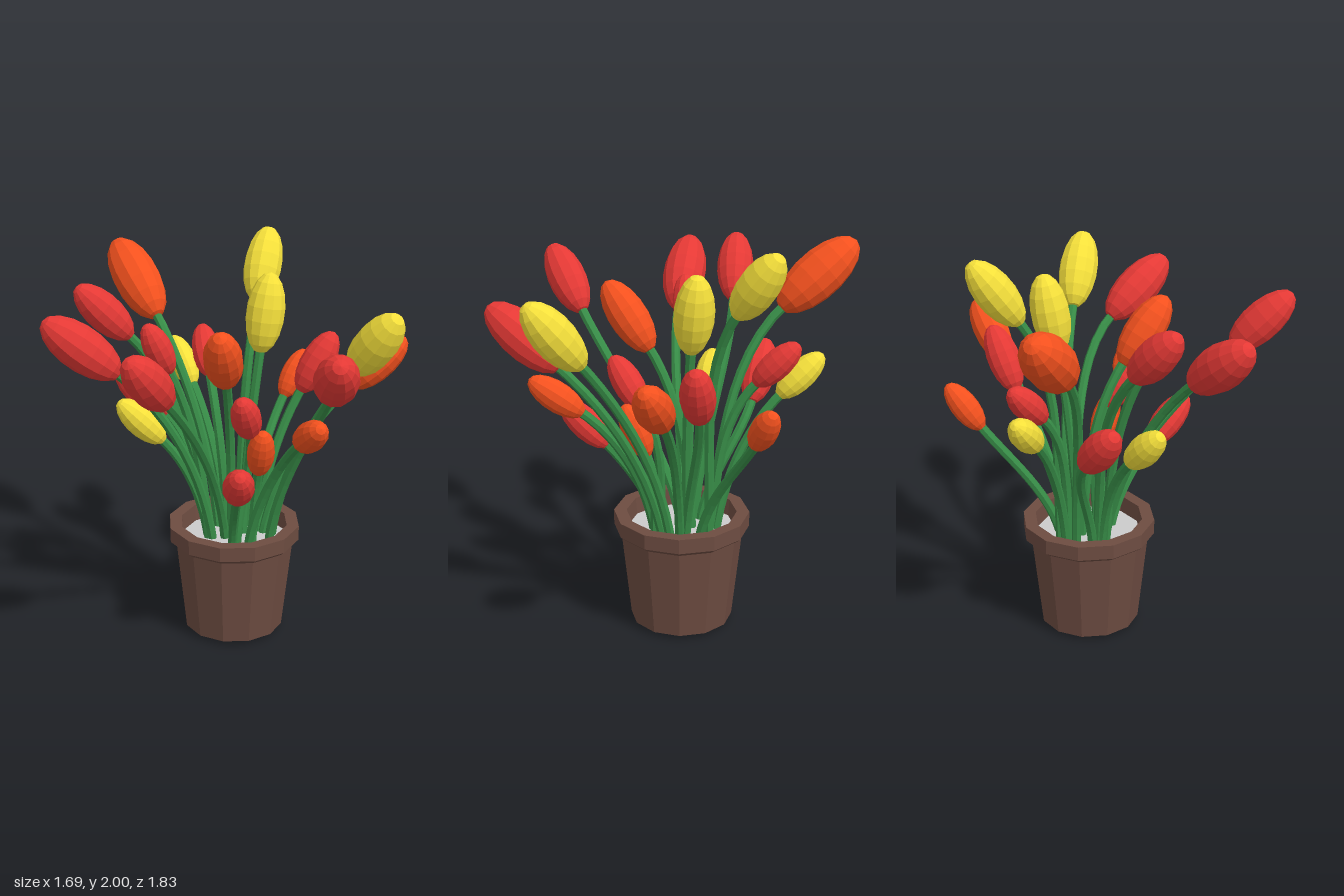
import * as THREE from 'three';

const V = (x, y, z) => new THREE.Vector3(x, y, z);
const mat = (color, side = THREE.FrontSide) =>
  new THREE.MeshStandardMaterial({ color, flatShading: true, side });

// Each row: stem root x, z | bud base x, y, z | bud tip x, y, z
const RED = [
  [0.10, 0.00, -0.55, 1.47, 0.23, -0.83, 1.75, 0.27],
  [0.05, -0.04, -0.40, 1.46, -0.24, -0.67, 1.74, -0.46],
  [0.08, -0.08, -0.14, 1.55, -0.42, -0.36, 1.82, -0.56],
  [0.10, -0.10, 0.09, 1.08, -0.40, -0.08, 1.33, -0.58],
  [0.04, -0.06, -0.13, 1.42, -0.16, -0.25, 1.68, -0.20],
  [0.22, -0.10, 0.30, 1.26, -0.29, 0.42, 1.47, -0.46],
  [0.27, 0.07, 0.52, 1.22, 0.13, 0.66, 1.52, 0.23],
  [0.04, 0.10, -0.14, 0.89, 0.29, -0.31, 1.10, 0.46],
  [0.24, 0.17, 0.12, 1.44, 0.65, -0.14, 1.70, 0.89],
  [0.07, 0.10, 0.07, 1.13, 0.19, -0.10, 1.37, 0.28],
];
const ORANGE = [
  [0.18, -0.12, 0.15, 1.57, -0.52, 0.23, 1.88, -0.89],
  [0.28, 0.00, 0.65, 1.10, -0.09, 0.82, 1.32, -0.08],
  [0.27, 0.10, 0.62, 1.28, 0.37, 0.81, 1.53, 0.56],
  [0.17, -0.02, -0.02, 1.40, 0.11, -0.22, 1.71, 0.25],
  [0.12, 0.16, 0.12, 0.91, 0.20, 0.05, 1.17, 0.29],
  [0.10, 0.15, 0.06, 1.17, 0.51, -0.06, 1.34, 0.73],
];
const YELLOW = [
  [0.23, -0.12, 0.31, 1.18, -0.42, 0.37, 1.38, -0.63],
  [0.06, -0.08, -0.10, 1.03, -0.24, -0.27, 1.25, -0.38],
  [0.27, -0.06, 0.44, 1.67, -0.10, 0.65, 1.99, -0.20],
  [0.20, 0.03, 0.29, 1.47, 0.055, 0.36, 1.86, 0.06],
  [0.28, 0.15, 0.31, 1.50, 0.62, 0.29, 1.82, 0.88],
];

const stemMaterial = mat(0x388e48);

function createFlower([rx, rz, bx, by, bz, tx, ty, tz], budMaterial) {
  const flower = new THREE.Group();
  flower.name = 'tulip';
  const root = V(rx, 0.47, rz), base = V(bx, by, bz), tip = V(tx, ty, tz);
  const axis = tip.clone().sub(base);
  const length = axis.length();
  axis.normalize();

  // Stem rises from the soil, then bends into the line of the bud
  const rise = by - root.y;
  const lower = root.clone().lerp(base, 0.12).add(V(0, rise * 0.3, 0));
  const upper = base.clone().addScaledVector(axis, -0.3 * rise);
  const end = base.clone().addScaledVector(axis, 0.04);
  const curve = new THREE.CubicBezierCurve3(root, lower, upper, end);
  const stem = new THREE.Mesh(new THREE.TubeGeometry(curve, 12, 0.024, 7), stemMaterial);
  stem.name = 'stem';

  // Bud: faceted ellipsoid along the axis
  const bud = new THREE.Mesh(new THREE.SphereGeometry(0.5, 12, 9), budMaterial);
  bud.name = 'bud';
  bud.scale.set(length * 0.49, length * 1.03, length * 0.49);
  bud.quaternion.setFromUnitVectors(V(0, 1, 0), axis);
  bud.position.copy(base).lerp(tip, 0.5);

  flower.add(stem, bud);
  return flower;
}

function createPot() {
  const pot = new THREE.Group();
  pot.name = 'pot';
  pot.position.set(0.14, 0, 0.022);

  // Tapered body, overhanging rim and inner wall in one profile
  const profile = [
    [0, 0], [0.255, 0.02], [0.305, 0.49], [0.32, 0.50], [0.338, 0.515],
    [0.338, 0.59], [0.275, 0.59], [0.265, 0.48],
  ].map(([x, y]) => new THREE.Vector2(x, y));
  const shell = new THREE.Mesh(new THREE.LatheGeometry(profile, 12), mat(0x6d4c41, THREE.DoubleSide));
  shell.name = 'potShell';

  const soil = new THREE.Mesh(new THREE.CylinderGeometry(0.268, 0.262, 0.03, 12), mat(0xcccccc));
  soil.name = 'soil';
  soil.position.y = 0.49;

  pot.add(shell, soil);
  return pot;
}

export function createModel() {
  const model = new THREE.Group();
  model.name = 'pottedTulips';
  model.add(createPot());
  for (const [rows, color] of [[RED, 0xe53935], [ORANGE, 0xf4511e], [YELLOW, 0xf5e03b]]) {
    const budMaterial = mat(color);
    for (const row of rows) model.add(createFlower(row, budMaterial));
  }
  return model;
}
